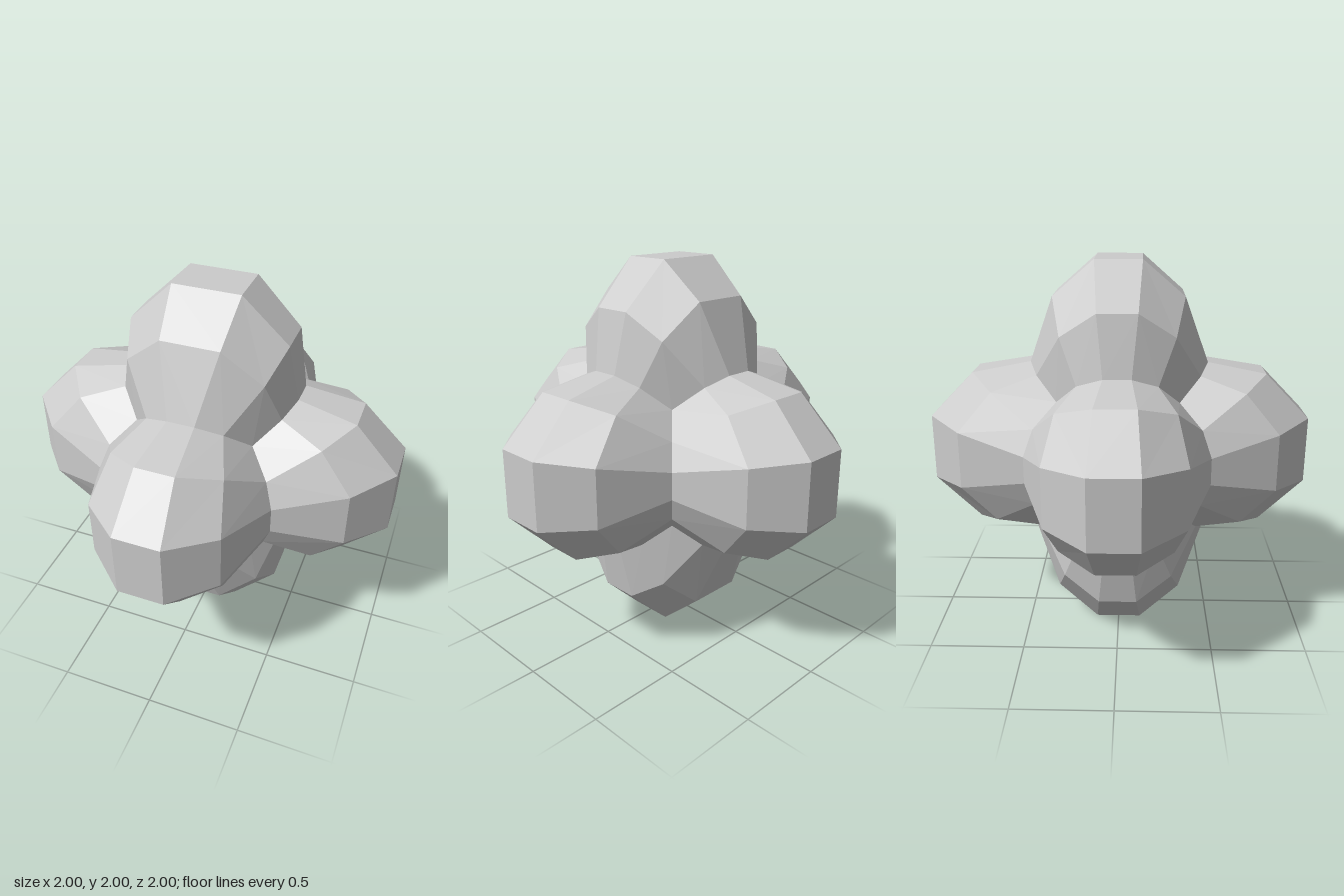
import * as THREE from 'three';

// Quarter of one lobe: P[i][j] = [short axis, long axis, height from centre]
const P = [
  [[0.12, 0.175, 1], [0.1, 0.41, 0.77], [0.07, 0.465, 0.465]],
  [[0.335, 0.15, 0.815], [0.285, 0.35, 0.645], [0.2, 0.42, 0.42]],
  [[0.465, 0.07, 0.465], [0.42, 0.2, 0.42], [0.31, 0.31, 0.31]],
];

// Mirrored lookup on the full 6 x 6 grid
function gridPoint(i, j) {
  const [s, l, h] = P[i < 3 ? 2 - i : i - 3][j < 3 ? 2 - j : j - 3];
  return [i < 3 ? -s : s, j < 3 ? -l : l, h];
}

// axes = indices of the short, long and height axes; sign = direction of the lobe
function lobeGeometry(axes, sign) {
  const pos = [];
  const place = ([s, l, h]) => {
    const v = [0, 0, 0];
    v[axes[0]] = s;
    v[axes[1]] = l;
    v[axes[2]] = h * sign;
    v[1] += 1;
    return v;
  };
  const even = (axes[1] - axes[0] + 3) % 3 === 1;
  const flip = even !== (sign > 0);
  const tri = (a, b, c) => pos.push(...a, ...(flip ? c : b), ...(flip ? b : c));
  for (let i = 0; i < 5; i++) {
    for (let j = 0; j < 5; j++) {
      const a = place(gridPoint(i, j)), b = place(gridPoint(i + 1, j));
      const c = place(gridPoint(i + 1, j + 1)), d = place(gridPoint(i, j + 1));
      // diagonals run outward from the middle of the lobe
      if ((i - 2) * (j - 2) >= 0) { tri(a, b, c); tri(a, c, d); }
      else { tri(a, b, d); tri(b, c, d); }
    }
  }
  const g = new THREE.BufferGeometry();
  g.setAttribute('position', new THREE.Float32BufferAttribute(pos, 3));
  g.computeVertexNormals();
  return g;
}

export function createModel() {
  const group = new THREE.Group();
  group.name = 'sixLobedBody';
  const material = new THREE.MeshStandardMaterial({ color: 0xcccccc, flatShading: true });
  const lobes = [
    ['frontLobe', [0, 1, 2], 1], ['backLobe', [0, 1, 2], -1],
    ['leftLobe', [2, 1, 0], 1], ['rightLobe', [2, 1, 0], -1],
    ['topLobe', [2, 0, 1], 1], ['bottomLobe', [2, 0, 1], -1],
  ];
  for (const [name, axes, sign] of lobes) {
    const mesh = new THREE.Mesh(lobeGeometry(axes, sign), material);
    mesh.name = name;
    group.add(mesh);
  }
  return group;
}
